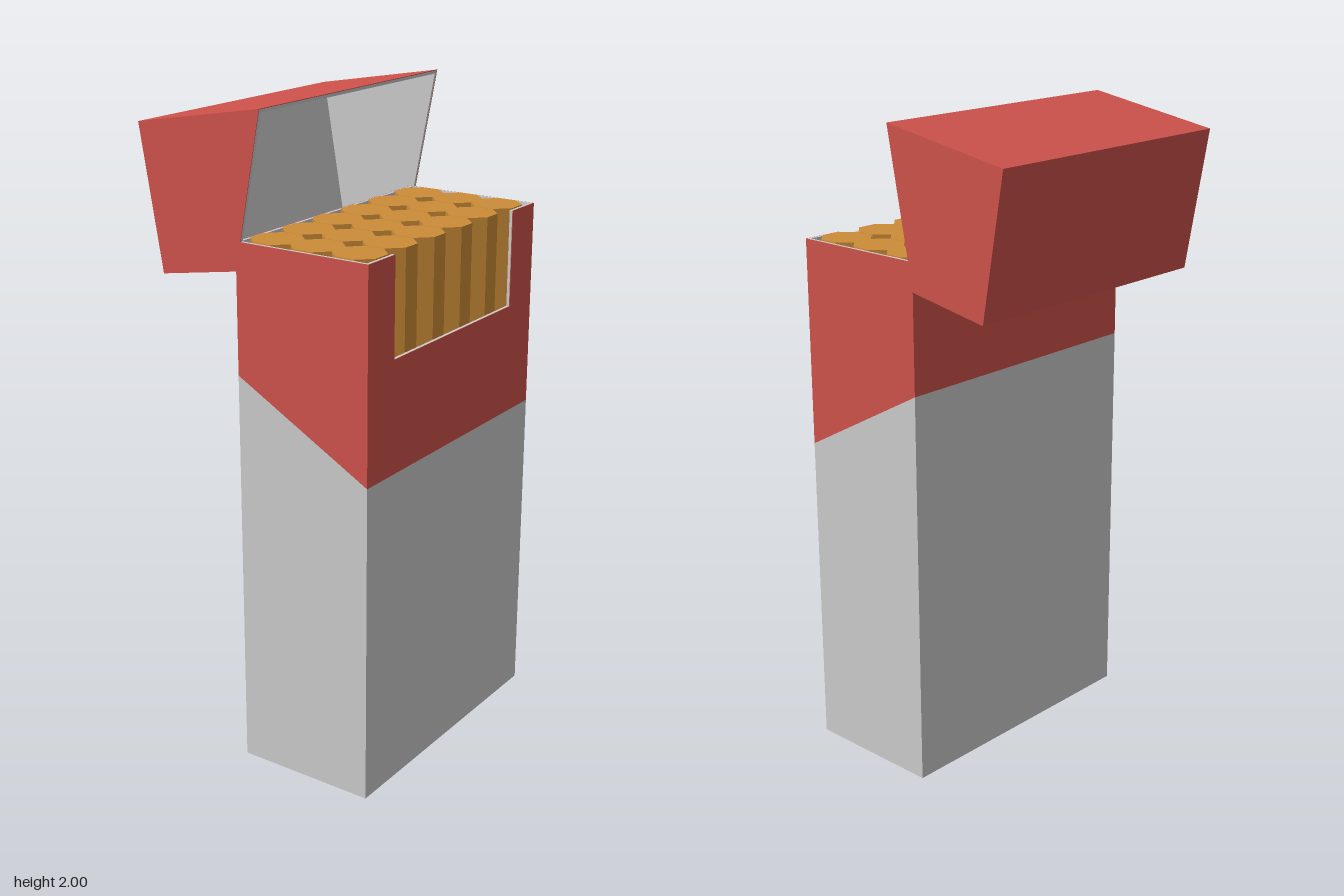
import * as THREE from 'three';

const grey = new THREE.MeshStandardMaterial({ color: 0xcccccc });
const red = new THREE.MeshStandardMaterial({ color: 0xcf524b });
const orange = new THREE.MeshStandardMaterial({ color: 0xcc8c37, flatShading: true });

const X0 = -0.053, X1 = 0.39, Z = 0.45;   // carton extents
const TOP = 1.626, BACK_SPLIT = 1.235, FRONT_SPLIT = 0.99;
const SKIN = 0.002, WALL = 0.011;         // printed skin, full wall thickness

// Flat panel: an outline in x/y, extruded from z0 to z1
function slab(name, points, z0, z1, material) {
  const shape = new THREE.Shape(points.map(([x, y]) => new THREE.Vector2(x, y)));
  const geometry = new THREE.ExtrudeGeometry(shape, { depth: z1 - z0, bevelEnabled: false });
  geometry.translate(0, 0, z0);
  const mesh = new THREE.Mesh(geometry, material);
  mesh.name = name;
  return mesh;
}

// Panel outlined in z/y (symmetric in z), extruded from x0 to x1
function crossSlab(name, points, x0, x1, material) {
  const mesh = slab(name, points, x0, x1, material);
  mesh.geometry.rotateY(Math.PI / 2);
  return mesh;
}

const rect = (x0, y0, x1, y1) => [[x0, y0], [x1, y0], [x1, y1], [x0, y1]];

// Front outline with the finger notch cut from its top edge
const notched = (w, bottom) => [
  [-w, bottom], [w, bottom], [w, TOP], [0.32, TOP],
  [0.32, 1.33], [-0.32, 1.33], [-0.32, TOP], [-w, TOP],
];

function createCarton() {
  const carton = new THREE.Group();
  carton.name = 'carton';
  const zs = Z - SKIN, zw = Z - WALL;

  // Side walls: two-tone skin over a grey liner
  for (const s of [-1, 1]) {
    const layer = (name, points, a, b, mat) =>
      carton.add(slab(name, points, Math.min(s * a, s * b), Math.max(s * a, s * b), mat));
    layer('lowerSide', [[X0, 0], [X1, 0], [X1, FRONT_SPLIT], [X0, BACK_SPLIT]], zs, Z, grey);
    layer('upperSide', [[X0, BACK_SPLIT], [X1, FRONT_SPLIT], [X1, TOP], [X0, TOP]], zs, Z, red);
    layer('sideLiner', rect(X0 + SKIN, 0, X1 - SKIN, TOP), zw, zs, grey);
  }

  // Front and back walls
  carton.add(
    crossSlab('lowerFront', rect(-zs, 0, zs, FRONT_SPLIT), X1 - SKIN, X1, grey),
    crossSlab('upperFront', notched(zs, FRONT_SPLIT), X1 - SKIN, X1, red),
    crossSlab('frontLiner', notched(zw, 0), X1 - WALL, X1 - SKIN, grey),
    crossSlab('lowerBack', rect(-zs, 0, zs, BACK_SPLIT), X0, X0 + SKIN, grey),
    crossSlab('upperBack', rect(-zs, BACK_SPLIT, zs, TOP), X0, X0 + SKIN, red),
    crossSlab('backLiner', rect(-zw, 0, zw, TOP), X0 + SKIN, X0 + WALL, grey),
    slab('floor', rect(X0 + WALL, 0, X1 - WALL, WALL), -zw, zw, grey),
  );
  return carton;
}

// Flip lid, drawn upright with its lower back corner at the origin
function createLid() {
  const lid = new THREE.Group();
  lid.name = 'lid';
  const short = 0.27, long = 0.436, height = 0.437, tilt = 0.171;
  const edge = (y) => short + (long - short) * y / height;   // sloping mouth
  const outline = (d) => [[edge(d), d], [d, d], [d, height - d], [edge(height - d), height - d]];
  const band = (a, b) => [...outline(a), ...outline(b).reverse()];

  lid.add(
    slab('lidSkin', band(0, SKIN), -Z, Z, red),
    slab('lidLiner', band(SKIN, WALL), -Z + SKIN, Z - SKIN, grey),
  );
  for (const s of [-1, 1]) {
    const mid = s * (Z - SKIN), inner = s * (Z - WALL);
    lid.add(
      slab('lidSide', outline(SKIN), Math.min(mid, s * Z), Math.max(mid, s * Z), red),
      slab('lidSideLiner', outline(WALL), Math.min(mid, inner), Math.max(mid, inner), grey),
    );
  }
  // Swing back about the hinge on the rear wall
  lid.rotation.z = tilt;
  lid.position.set(X0 - short * Math.cos(tilt), 1.54 - short * Math.sin(tilt), 0);
  return lid;
}

// Three rows of six octagonal sticks
function createSticks() {
  const sticks = new THREE.Group();
  sticks.name = 'sticks';
  const apothem = 0.072, radius = apothem / Math.cos(Math.PI / 8);
  const bottom = WALL, top = 1.629;
  const geometry = new THREE.CylinderGeometry(radius, radius, top - bottom, 8);
  geometry.rotateY(Math.PI / 8);
  for (let row = 0; row < 3; row++) {
    for (let i = 0; i < 6; i++) {
      const stick = new THREE.Mesh(geometry, orange);
      stick.name = 'stick';
      stick.position.set(0.306 - 0.138 * row, (top + bottom) / 2, (i - 2.5) * 0.1465);
      sticks.add(stick);
    }
  }
  return sticks;
}

export function createModel() {
  const model = new THREE.Group();
  model.name = 'flipTopCarton';
  model.add(createCarton(), createLid(), createSticks());
  return model;
}
